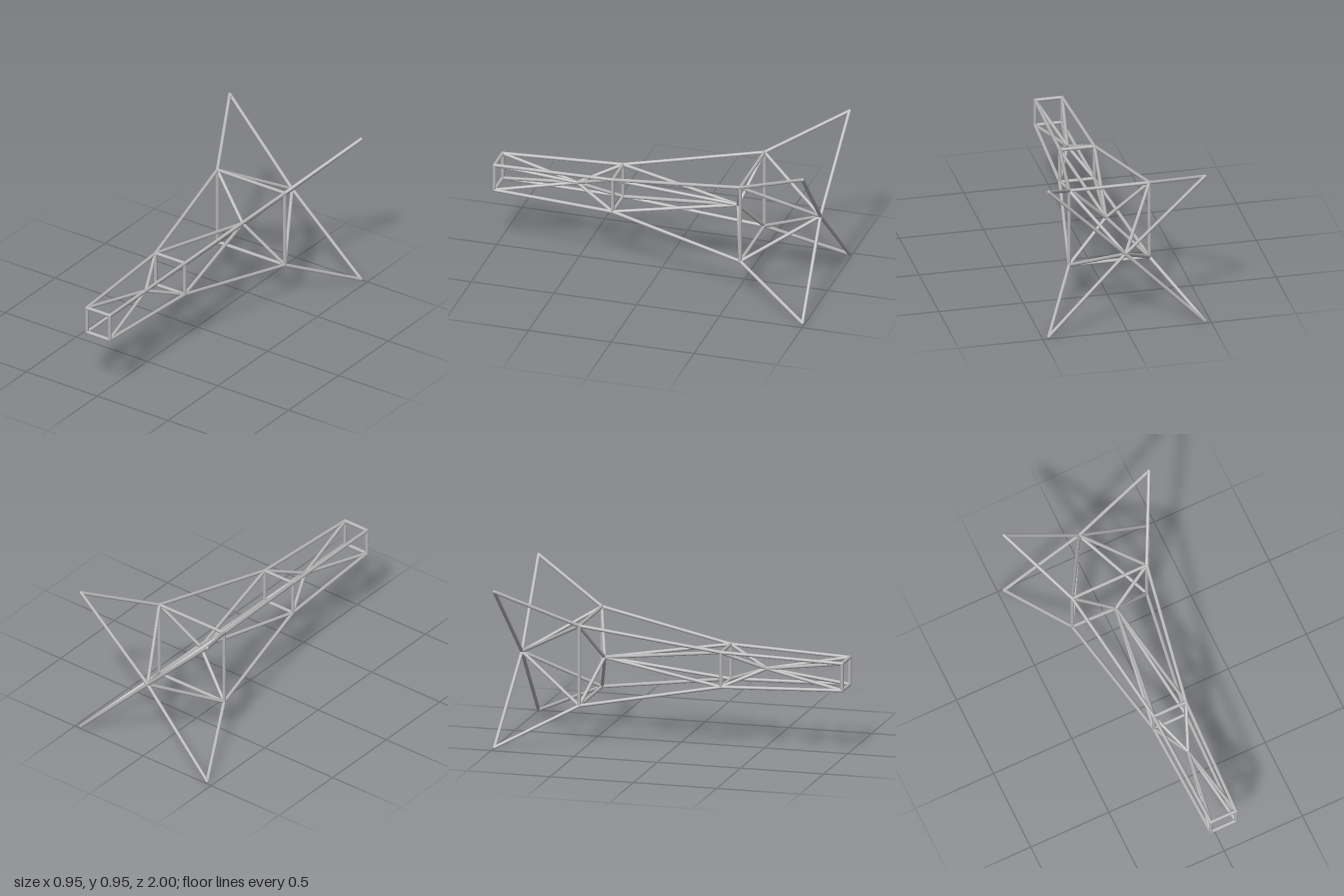
import * as THREE from 'three';

const CY = 0.471;      // height of the long axis
const R = 0.0105;      // tube radius
const UP = new THREE.Vector3(0, 1, 0);

export function createModel() {
  const model = new THREE.Group();
  model.name = 'trussFrame';
  const steel = new THREE.MeshStandardMaterial({ color: 0xb6b6b6 });
  steel.name = 'light grey steel';

  const jointGeo = new THREE.SphereGeometry(R, 12, 8);
  const joint = (p, name) => {
    const m = new THREE.Mesh(jointGeo, steel);
    m.position.copy(p);
    m.name = name;
    model.add(m);
  };
  const bar = (a, b, name) => {
    const d = b.clone().sub(a);
    const m = new THREE.Mesh(new THREE.CylinderGeometry(R, R, d.length(), 12, 1, true), steel);
    m.position.copy(a).add(b).multiplyScalar(0.5);
    m.quaternion.setFromUnitVectors(UP, d.normalize());
    m.name = name;
    model.add(m);
  };

  // Four corners of each station along the axis: [half width, z]
  const stations = [[0.08, 0.989], [0.103, 0.268], [0.238, -0.545], [0.463, -0.99]]
    .map(([h, z]) => [[1, 1], [-1, 1], [-1, -1], [1, -1]]
      .map(([sx, sy]) => new THREE.Vector3(sx * h, CY + sy * h, z)));
  // Central nodes between neighbouring stations
  const hubs = [0.513, -0.46, -0.957].map((z) => new THREE.Vector3(0, CY, z));

  stations.forEach((corners, s) => corners.forEach((p, i) => {
    joint(p, s === 3 ? 'finTip' : 'cornerJoint');
    if (s < 3) {
      // Square frames; the rear fin tips stay unconnected
      bar(p, corners[(i + 1) % 4], 'squareFrameBar');
      // Outer rails and inner diagonal braces
      bar(p, stations[s + 1][i], s === 2 ? 'finRail' : 'longRail');
      bar(p, hubs[s], 'frontBrace');
      bar(hubs[s], stations[s + 1][i], s === 2 ? 'finBrace' : 'rearBrace');
    }
  }));
  hubs.forEach((p) => joint(p, 'hubJoint'));

  return model;
}
